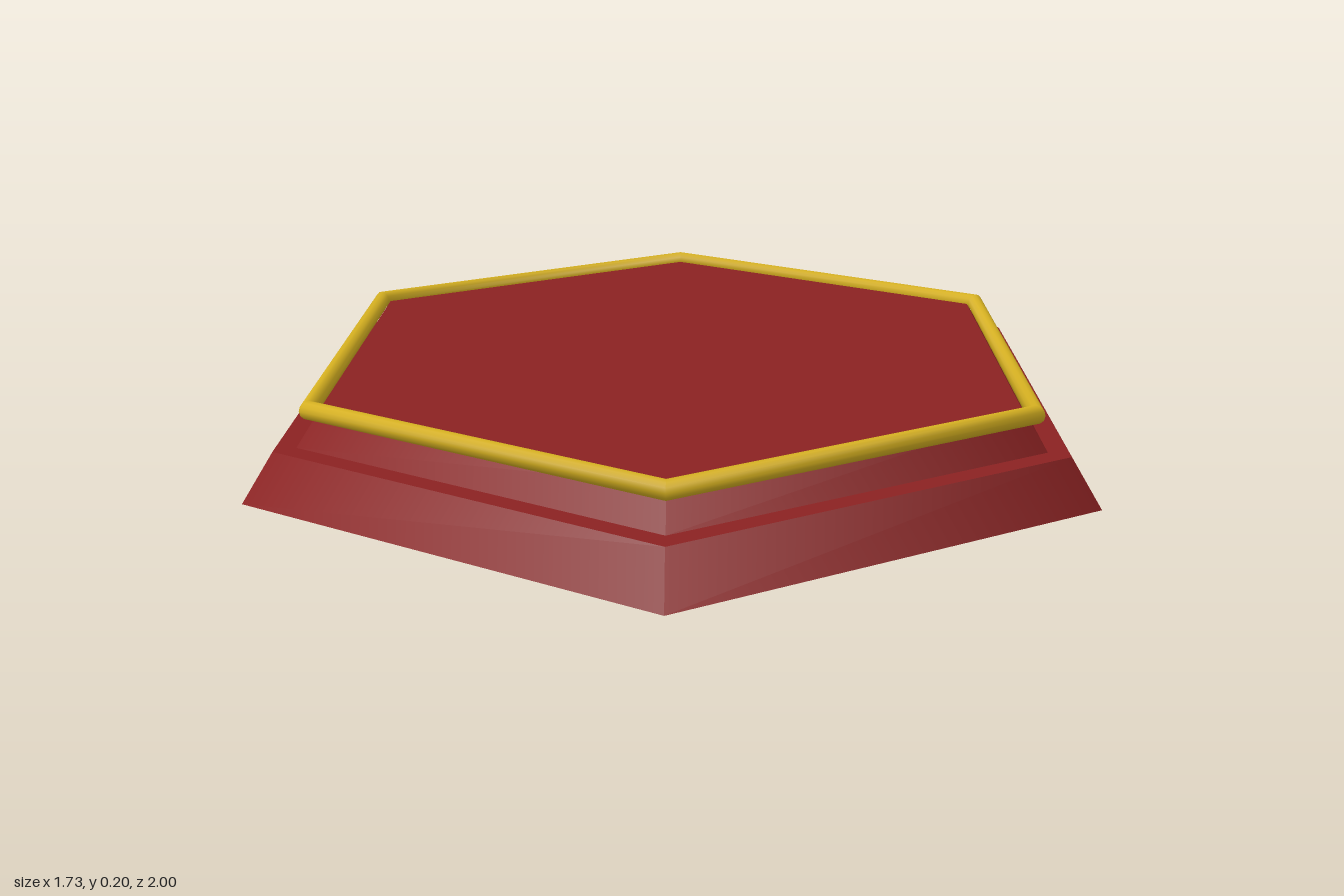
import * as THREE from 'three';

export function createModel() {
  const red = new THREE.MeshStandardMaterial({ name: 'deepRed', color: 0x8b2222 });
  const gold = new THREE.MeshStandardMaterial({ name: 'gold', color: 0xd4af20 });
  const group = new THREE.Group();
  group.name = 'hexagonalPlinth';

  // Tapered hexagonal tier with a corner facing the front
  const addTier = (name, topRadius, bottomRadius, y0, y1) => {
    const geometry = new THREE.CylinderGeometry(topRadius, bottomRadius, y1 - y0, 6);
    const mesh = new THREE.Mesh(geometry, red);
    mesh.position.y = (y0 + y1) / 2;
    mesh.name = name;
    group.add(mesh);
  };
  addTier('baseTier', 0.93, 1, 0, 0.1);
  addTier('upperTier', 0.825, 0.88, 0.1, 0.175);

  // Round gold trim along the upper edge, corners in line with the tiers
  const ring = new THREE.TorusGeometry(0.85, 0.02, 12, 6);
  ring.rotateX(Math.PI / 2).rotateY(Math.PI / 6);
  const trim = new THREE.Mesh(ring, gold);
  trim.position.y = 0.176;
  trim.name = 'trimRing';
  group.add(trim);

  return group;
}
